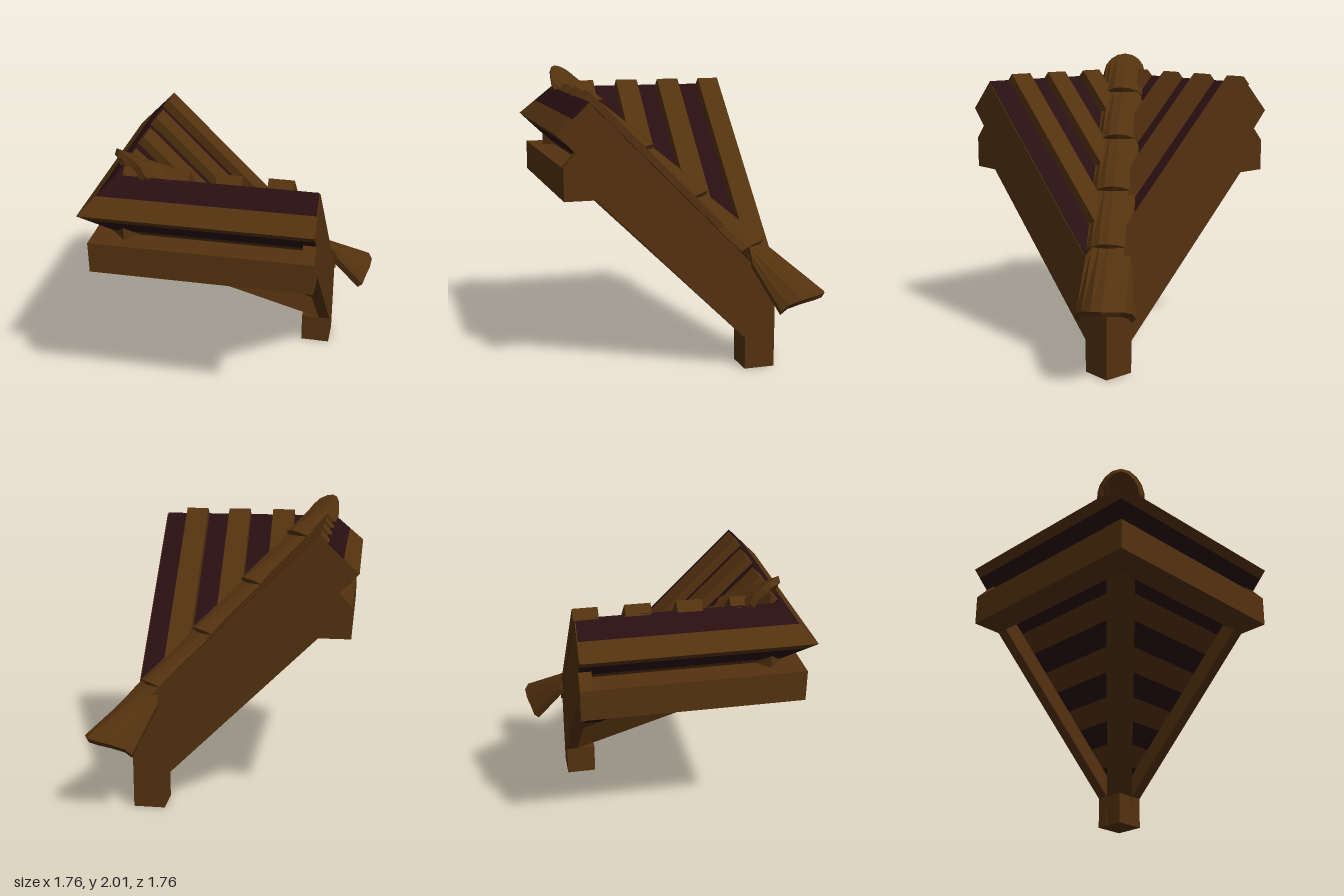
import * as THREE from 'three';
import { mergeGeometries } from 'three/addons/utils/BufferGeometryUtils.js';

// Closed flat-shaded solid from loose triangles; turned right side out by its signed volume
function solid(p) {
  const a = new THREE.Vector3(), b = new THREE.Vector3(), c = new THREE.Vector3();
  let volume = 0;
  for (let i = 0; i < p.length; i += 9) {
    volume += a.fromArray(p, i).dot(b.fromArray(p, i + 3).cross(c.fromArray(p, i + 6)));
  }
  if (volume < 0) {
    for (let i = 0; i < p.length; i += 9) {
      for (let k = 3; k < 6; k++) [p[i + k], p[i + k + 3]] = [p[i + k + 3], p[i + k]];
    }
  }
  const g = new THREE.BufferGeometry();
  g.setAttribute('position', new THREE.Float32BufferAttribute(p, 3));
  g.computeVertexNormals();
  return g;
}

// Prism between two loops of equal length (convex loops)
function loft(low, high) {
  const p = [], n = low.length;
  const tri = (a, b, c) => p.push(...a, ...b, ...c);
  for (let i = 0; i < n; i++) {
    const j = (i + 1) % n;
    tri(low[i], low[j], high[j]);
    tri(low[i], high[j], high[i]);
    if (i > 0 && i < n - 1) {
      tri(low[0], low[i + 1], low[i]);
      tri(high[0], high[i], high[i + 1]);
    }
  }
  return solid(p);
}

// The slope layers lie on y = s + c, where s runs uphill; the top end is cut square
const topEnd = c => (2.52 - c) / 2;
const C = { under: 0.78, mid: 0.98, deck: 1.19, plank: 1.28 };
const EDGE = 0.607;

export function createModel() {
  const model = new THREE.Group();
  const brown = new THREE.MeshStandardMaterial({ color: 0x54320f });
  brown.name = 'brown wood';
  const dark = new THREE.MeshStandardMaterial({ color: 0x290f12 });
  dark.name = 'dark wood';
  const add = (parent, name, geometry, material) => {
    const m = new THREE.Mesh(geometry, material);
    m.name = name;
    parent.add(m);
    return m;
  };

  // One roof slope; "place" turns (along t, uphill s, height y) into model space
  function slope(name, place, planks) {
    const group = new THREE.Group();
    group.name = name;
    model.add(group);
    const layer = (outline, low, high) => loft(
      outline(low).map(([t, s]) => place(t, s, s + low)),
      outline(high).map(([t, s]) => place(t, s, s + high)));

    // Dark deck, a triangle ending on the valley line t = -s
    add(group, 'deck', layer(c => [[-topEnd(c), topEnd(c)], [EDGE, topEnd(c)], [EDGE, -EDGE]],
      C.mid, C.deck), dark);

    // Raised planks running down to the valley
    const raised = planks.map(([t0, t1]) => layer(c => {
      const e = topEnd(c);
      return [[t0, Math.max(-e, -t0) === -t0 ? -t0 : e], [t0, e], [t1, e], [t1, -t1]];
    }, C.deck - 0.02, C.plank));
    add(group, 'raisedPlanks', mergeGeometries(raised), brown);

    // Cross boards on the underside, alternating in colour
    const boards = [[], []];
    const low = topEnd(C.under);
    for (let i = 0, s1 = low; s1 > -EDGE + 0.01; i++) {
      const s0 = Math.max(-EDGE, s1 - (i ? 0.1175 : 0.05));
      const top = s1;
      boards[i % 2].push(layer(c => {
        const shift = (C.under - c) / 2;
        const a = Math.max(-EDGE, s0 + shift), b = Math.max(-EDGE, top + shift);
        return [[-a, a], [-b, b], [EDGE, b], [EDGE, a]];
      }, C.under, C.mid));
      s1 = s0;
    }
    add(group, 'undersideBoards', mergeGeometries(boards[0]), brown);
    add(group, 'undersideDarkBoards', mergeGeometries(boards[1]), dark);

    // End frame closing the side of the slope
    const profile = [[0.66, 1.845], [0.862, 1.65], [0.75, 1.53], [0.83, 1.44], [0.83, 1.23],
      [0.62, 1.23], [-0.4, 0.22], [-0.4, 0], [-0.612, 0], [-0.612, 0.57]];
    const frame = new THREE.ExtrudeGeometry(
      new THREE.Shape(profile.map(q => new THREE.Vector2(...q))),
      { depth: 0.083, bevelEnabled: false });
    const flat = frame.index ? frame.toNonIndexed() : frame;
    const pos = flat.attributes.position, tris = [];
    for (let i = 0; i < pos.count; i++) tris.push(...place(0.53 + pos.getZ(i), pos.getX(i), pos.getY(i)));
    add(group, 'endFrame', solid(tris), brown);

    // Level beam under the high edge
    const beam = y => [[-0.83, 0.83], [0.61, 0.83], [0.61, 0.62], [-0.62, 0.62]]
      .map(([t, s]) => place(t, s, y));
    add(group, 'topBeam', loft(beam(1.23), beam(1.44)), brown);
  }

  slope('frontSlope', (t, s, y) => [t, y, s],
    [[0.29, 0.45], [-0.03, 0.13], [-0.36, -0.2], [-0.62, -0.52]]);
  slope('sideSlope', (t, s, y) => [-s, y, -t],
    [[0.465, 0.622], [0.14, 0.302], [-0.18, -0.02], [-0.51, -0.355]]);

  // Corner post
  add(model, 'cornerPost', new THREE.BoxGeometry(0.21, 0.22, 0.21), brown)
    .position.set(0.506, 0.11, -0.506);

  // Valley rafter along the diagonal; d runs downhill, w sideways
  const diagonal = (d, w, y) => [d + w, y, -d + w];
  const rafter = c => [[-0.68, -0.065], [-0.68, 0.065], [0.48, 0.065], [0.48, -0.065]]
    .map(([d, w]) => diagonal(d, w, c - d));
  add(model, 'valleyRafter', loft(rafter(0.685), rafter(0.95)), brown);

  // Overlapping arched cover tiles, each wider at its lower end
  const SEGMENTS = 8;
  for (let i = 0; i < 5; i++) {
    const end = i === 4 ? 0.86 : -0.36 + i * 0.3;
    const start = end - (i === 0 ? 0.28 : 0.38);
    const endY = 1.42 - (i === 4 ? 0.85 : end);
    const wide = i === 4 ? 0.14 : 0.118;
    const point = (k, lower, inner) => {
      const a = (k / SEGMENTS - 0.5) * Math.PI * 0.94;
      const side = Math.sin(a) ** 2, thick = inner ? 0.035 : 0;
      const d = lower ? end - (i === 4 ? 0.16 : 0.08) * side : start + 0.06 * side;
      const crown = lower ? endY : endY + 0.83 * (end - start);
      const drop = lower ? 0.12 : 0.15;
      const w = ((lower ? wide : 0.112) - thick * 0.6) * Math.sin(a);
      return diagonal(d - thick * 0.4, w, crown - drop * (1 - Math.cos(a)) - thick);
    };
    const pieces = [];
    for (let k = 0; k < SEGMENTS; k++) {
      const ring = lower => [point(k, lower, false), point(k + 1, lower, false),
        point(k + 1, lower, true), point(k, lower, true)];
      pieces.push(loft(ring(false), ring(true)));
    }
    add(model, 'coverTile' + (i + 1), mergeGeometries(pieces), brown);
  }
  return model;
}
